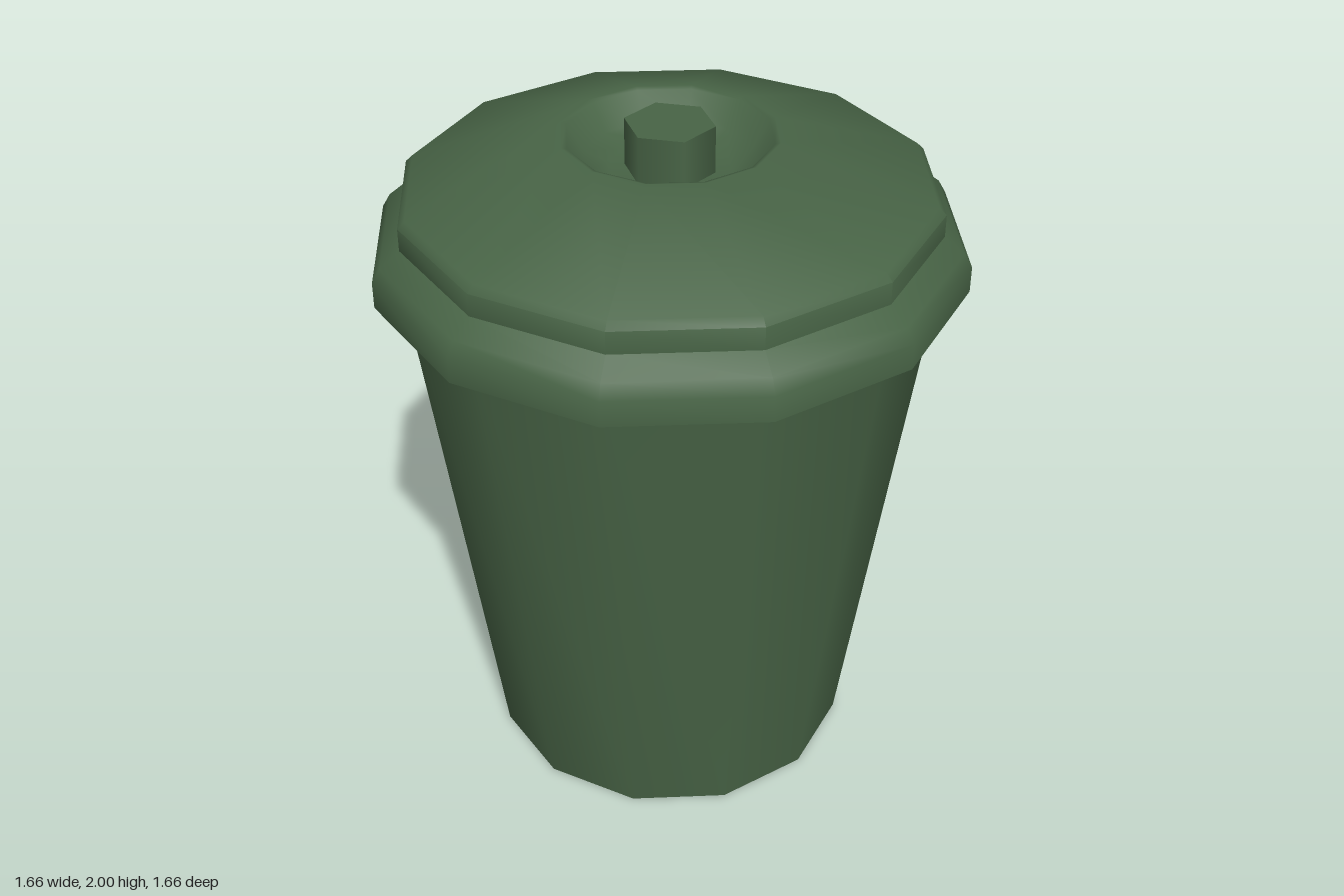
import * as THREE from 'three';
import { toCreasedNormals } from 'three/addons/utils/BufferGeometryUtils.js';

const SIDES = 12;

export function createModel() {
  const group = new THREE.Group();
  const green = new THREE.MeshStandardMaterial({ color: 0x486446 });
  green.name = 'bin green';

  // Twelve-sided turned part, smooth around and sharp at strong bends
  function turned(name, profile) {
    const points = profile.map(([r, y]) => new THREE.Vector2(r, y));
    const geometry = toCreasedNormals(new THREE.LatheGeometry(points, SIDES), 0.85);
    const mesh = new THREE.Mesh(geometry, green);
    mesh.name = name;
    group.add(mesh);
  }

  // Tapered body with a recessed base
  turned('body', [
    [0, 0.08], [0.525, 0.08], [0.52, 0], [0.535, 0], [0.75, 1.6],
  ]);

  // Lid: underside, rolled rim, shoulder, sloping top and hollow for the knob
  turned('lid', [
    [0.72, 1.58], [0.83, 1.58], [0.83, 1.655], [0.807, 1.695], [0.75, 1.74],
    [0.75, 1.805], [0.73, 1.825], [0.3, 1.97], [0.285, 1.965],
    [0.24, 1.89], [0.17, 1.865], [0, 1.86],
  ]);

  // Six-sided knob standing in the hollow
  const knob = new THREE.Mesh(new THREE.CylinderGeometry(0.125, 0.125, 0.15, 6), green);
  knob.name = 'knob';
  knob.position.y = 1.925;
  group.add(knob);

  return group;
}
